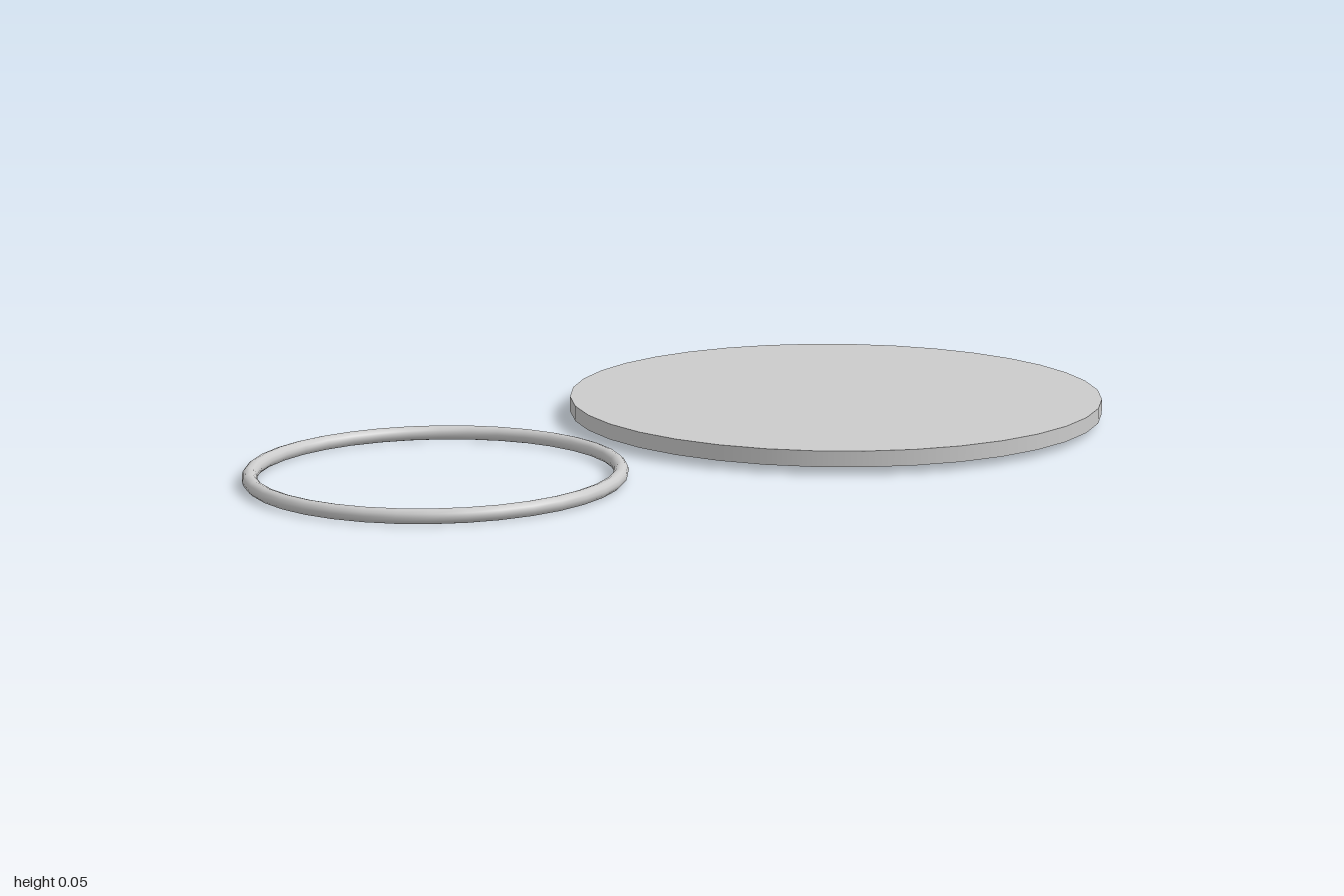
import * as THREE from 'three';

export function createModel() {
  const group = new THREE.Group();
  const material = new THREE.MeshStandardMaterial({ color: 0xcccccc });

  const add = (name, geometry, x, y, z) => {
    const mesh = new THREE.Mesh(geometry, material);
    mesh.name = name;
    mesh.position.set(x, y, z);
    group.add(mesh);
  };

  // Large flat disc, raised to the ring's mid height
  const discHeight = 0.034;
  add('disc', new THREE.CylinderGeometry(0.595, 0.595, discHeight, 36), 0.405, 0.016 + discHeight / 2, 0.05);

  // Thin round ring lying flat beside the disc
  const tube = 0.0155;
  const ring = new THREE.TorusGeometry(0.395 - tube, tube, 12, 36).rotateX(-Math.PI / 2);
  add('ring', ring, -0.605, tube, -0.253);

  return group;
}
